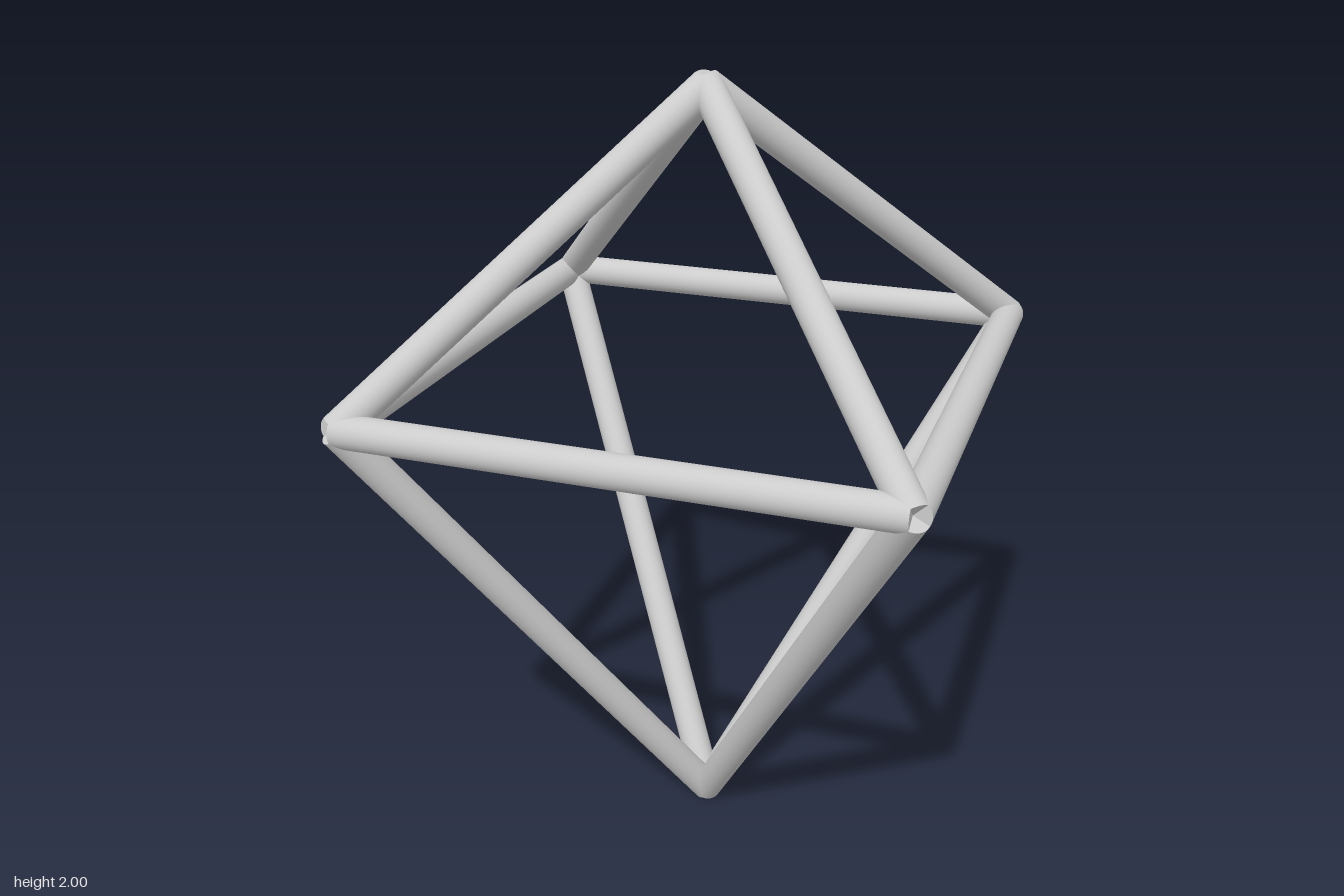
import * as THREE from 'three';

export function createModel() {
  const group = new THREE.Group();
  const material = new THREE.MeshStandardMaterial({ color: 0xcccccc });
  const radius = 0.04, half = 0.645, beltY = 1.29;

  // Straight capped rod running between two joints
  function addRod(name, from, to) {
    const dir = to.clone().sub(from);
    const rod = new THREE.Mesh(
      new THREE.CylinderGeometry(radius, radius, dir.length(), 32), material);
    rod.position.copy(from).add(to).multiplyScalar(0.5);
    rod.quaternion.setFromUnitVectors(new THREE.Vector3(0, 1, 0), dir.normalize());
    rod.name = name;
    group.add(rod);
  }

  const top = new THREE.Vector3(0, 1.968, 0);
  const bottom = new THREE.Vector3(0, 0.024, 0);
  const corners = [[1, 1], [1, -1], [-1, -1], [-1, 1]].map(
    ([x, z]) => new THREE.Vector3(x * half, beltY, z * half));

  // Square belt, with rods to the upper and lower apex from each corner
  corners.forEach((corner, i) => {
    addRod('beltRod' + (i + 1), corner, corners[(i + 1) % 4]);
    addRod('upperRod' + (i + 1), corner, top);
    addRod('lowerRod' + (i + 1), bottom, corner);
  });

  group.name = 'octahedralFrame';
  return group;
}
